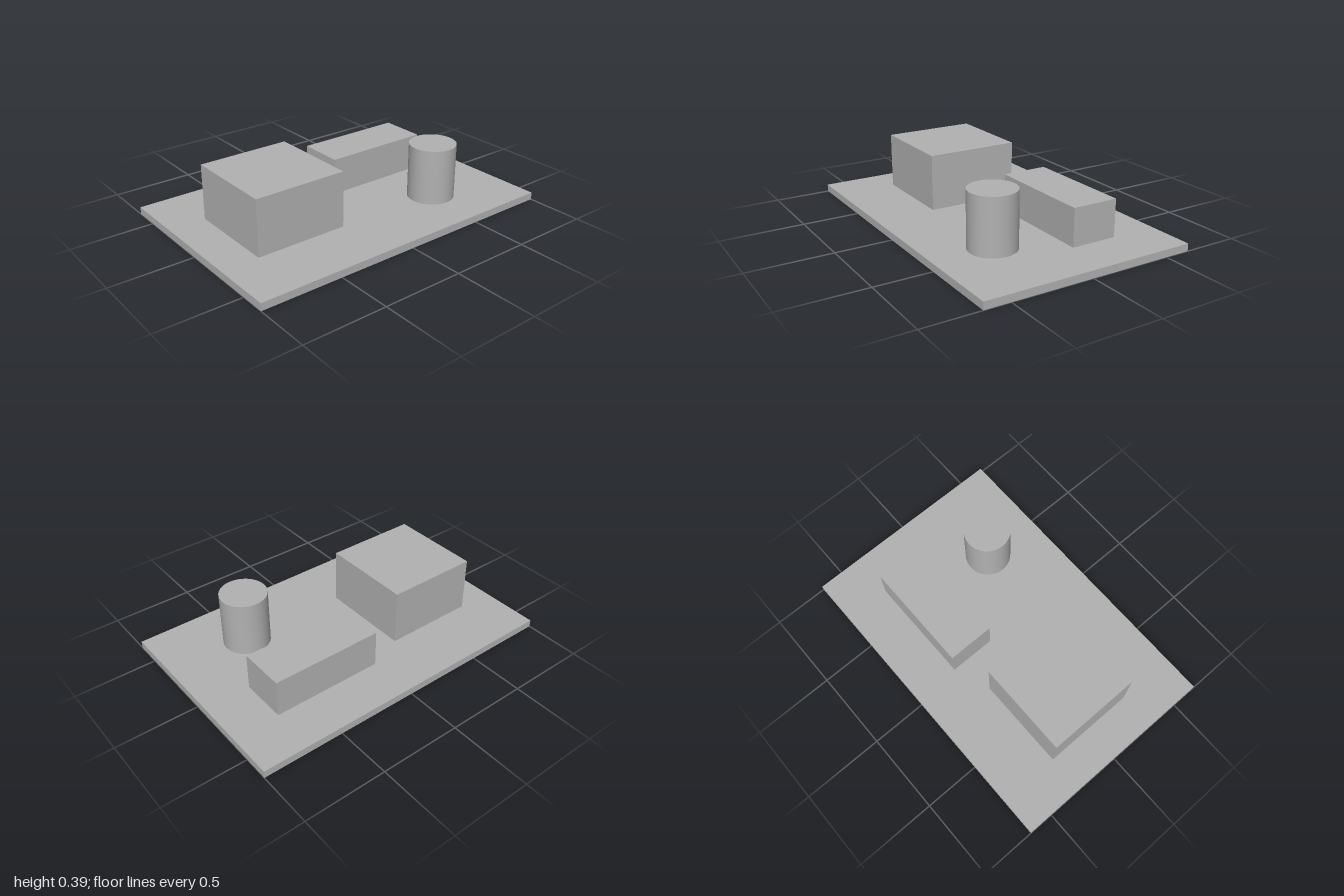
import * as THREE from 'three';

const UNIT = 2 / 175; // the base plate is 175 modules long
const PLATE = 4;

export function createModel() {
  const model = new THREE.Group();
  model.name = 'blocksOnPlate';
  const grey = new THREE.MeshStandardMaterial({ color: 0xb2b2b2 });
  grey.name = 'plain grey';

  // Places a part by its centre (x, z) and the height of its underside
  function add(name, geometry, height, x, z, bottom = PLATE) {
    const mesh = new THREE.Mesh(geometry, grey);
    mesh.name = name;
    mesh.position.set(x * UNIT, (bottom + height / 2) * UNIT, z * UNIT);
    model.add(mesh);
  }
  const box = (w, h, d) => new THREE.BoxGeometry(w * UNIT, h * UNIT, d * UNIT);

  add('basePlate', box(175, PLATE, 115), PLATE, 0, 0, 0);
  add('squareBlock', box(50, 30, 50), 30, -42.5, 0);
  add('longBlock', box(60, 20, 25), 20, 32.5, -20);
  add('cylinderPost', new THREE.CylinderGeometry(12.5 * UNIT, 12.5 * UNIT, 30 * UNIT, 64), 30, 42.5, 25);

  return model;
}
